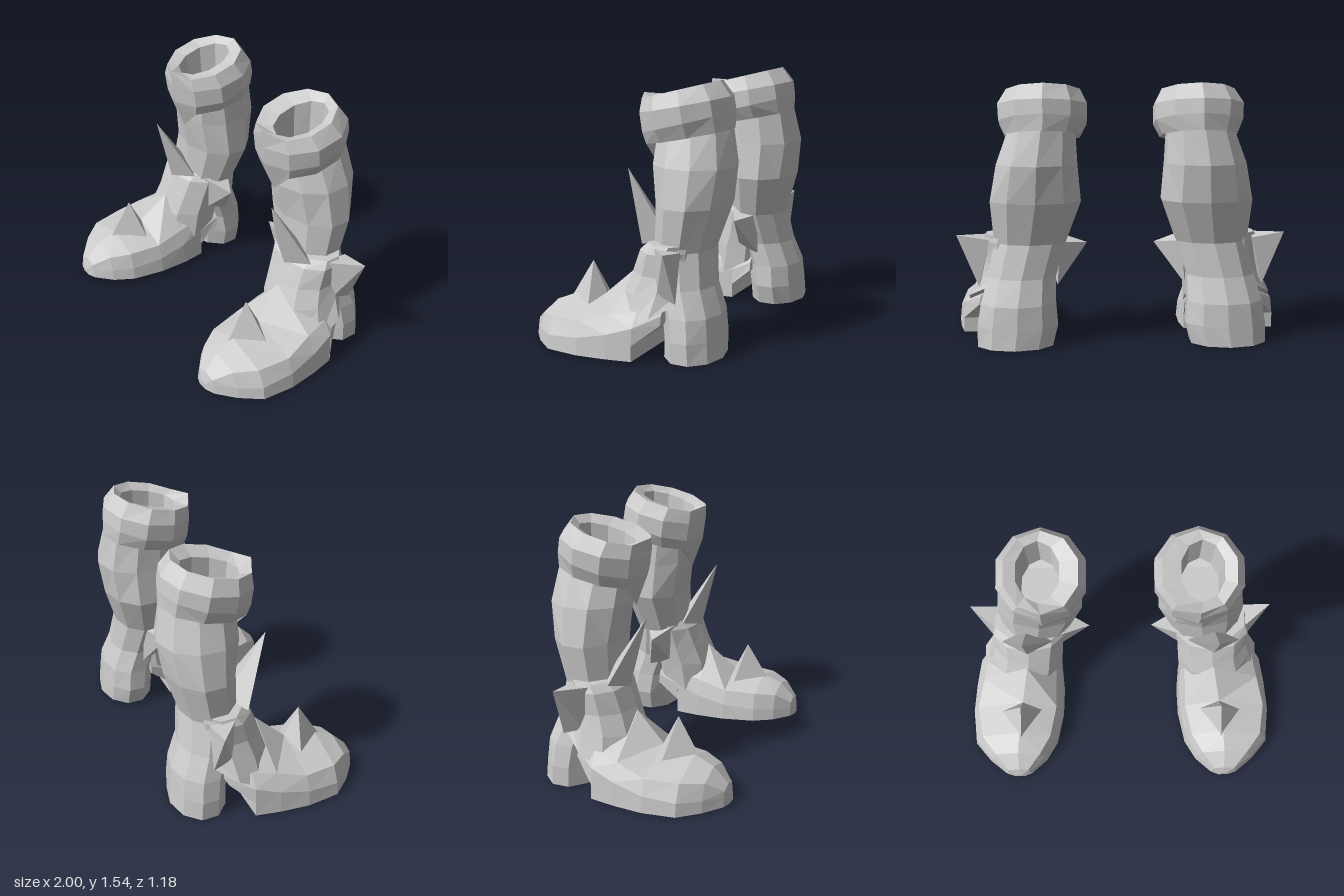
import * as THREE from 'three';
import { ConvexGeometry } from 'three/addons/geometries/ConvexGeometry.js';

const material = new THREE.MeshStandardMaterial({ color: 0xcccccc, flatShading: true });

// Skin through closed rings of points, capped at both ends
function loft(rings) {
  const pos = [];
  const tri = (a, b, c) => pos.push(...a, ...b, ...c);
  const n = rings[0].length;
  for (let i = 0; i < rings.length - 1; i++) {
    for (let j = 0; j < n; j++) {
      const k = (j + 1) % n, lo = rings[i], hi = rings[i + 1];
      tri(lo[j], lo[k], hi[k]);
      tri(lo[j], hi[k], hi[j]);
    }
  }
  const cap = (ring, flip) => {
    const mid = [0, 1, 2].map(d => ring.reduce((s, p) => s + p[d], 0) / n);
    ring.forEach((p, j) => {
      const q = ring[(j + 1) % n];
      flip ? tri(mid, q, p) : tri(mid, p, q);
    });
  };
  cap(rings[0], true);
  cap(rings[rings.length - 1], false);
  const geo = new THREE.BufferGeometry();
  geo.setAttribute('position', new THREE.Float32BufferAttribute(pos, 3));
  geo.computeVertexNormals();
  return geo;
}

// Ten-sided ring around the leg, raised at the back by tilt, pulled down at the front by tongue
function legRing([x0, x1, zBack, zFront, y, tilt = 0, tongue = 0]) {
  const ring = [];
  for (let j = 0; j < 10; j++) {
    const a = j * Math.PI / 5;
    const drop = j === 0 ? tongue : 0;
    ring.push([
      (x0 + x1) / 2 + (x1 - x0) / 1.9 * Math.sin(a),
      y - tilt * Math.cos(a) - drop,
      (zBack + zFront) / 2 + (zFront - zBack) / 2 * Math.cos(a) - drop * 0.45,
    ]);
  }
  return ring;
}

// Arched cross-section of the foot at one z
function footRing([z, xi, xo, yb, ys, xmi, xmo, ym, xt, yt]) {
  return [[xo, yb, z], [xo - 0.01, ys, z], [xmo, ym, z], [xt, yt, z], [xmi, ym, z], [xi + 0.01, ys, z], [xi, yb, z]];
}

function spike(points) {
  return new ConvexGeometry(points.map(p => new THREE.Vector3(...p)));
}

// Mirror across x and restore the facing
function mirrored(source) {
  const geo = source.clone().scale(-1, 1, 1);
  const p = geo.attributes.position;
  const a = new THREE.Vector3(), b = new THREE.Vector3();
  for (let i = 0; i < p.count; i += 3) {
    a.fromBufferAttribute(p, i + 1);
    b.fromBufferAttribute(p, i + 2);
    p.setXYZ(i + 1, b.x, b.y, b.z);
    p.setXYZ(i + 2, a.x, a.y, a.z);
  }
  geo.computeVertexNormals();
  return geo;
}

export function createModel() {
  const parts = {
    // Heel and leg, bottom to top: x range, z range, height
    heelAndShaft: loft([
      [0.41, 0.85, -0.585, -0.25, 0],
      [0.38, 0.85, -0.575, -0.25, 0.12],
      [0.39, 0.83, -0.565, -0.23, 0.25],
      [0.39, 0.79, -0.51, -0.18, 0.40],
      [0.33, 0.75, -0.48, -0.14, 0.60],
      [0.24, 0.77, -0.555, -0.14, 0.85],
      [0.26, 0.73, -0.59, -0.10, 1.07],
      [0.27, 0.66, -0.55, -0.10, 1.25, 0.05],
    ].map(legRing)),

    // Turned cuff: underside, outside, rim, then down into the opening
    cuff: loft([
      [0.27, 0.65, -0.53, -0.10, 1.24, 0.06],
      [0.24, 0.68, -0.56, -0.03, 1.22, 0.055, 0.125],
      [0.20, 0.715, -0.555, -0.015, 1.30, 0.07],
      [0.20, 0.72, -0.54, 0.0, 1.40, 0.055],
      [0.24, 0.67, -0.475, -0.005, 1.48, 0.06, -0.03],
      [0.35, 0.60, -0.43, -0.08, 1.455, 0.045],
      [0.36, 0.58, -0.42, -0.10, 1.26],
    ].map(legRing)),

    // Wrap around the ankle, its back sunk into the shaft
    ankleWrap: loft([
      [0.40, 0.91, -0.42, 0.05, 0.22, 0.13],
      [0.39, 0.85, -0.43, 0.02, 0.37, 0.03],
      [0.38, 0.82, -0.43, -0.03, 0.47],
      [0.36, 0.82, -0.43, -0.08, 0.60],
      [0.35, 0.80, -0.43, -0.13, 0.645],
    ].map(legRing)),

    // Foot, back to front, with the arch step behind the sole
    foot: loft([
      [-0.30, 0.39, 0.85, 0.21, 0.26, 0.44, 0.80, 0.32, 0.60, 0.40],
      [-0.17, 0.40, 0.95, 0.10, 0.20, 0.43, 0.88, 0.28, 0.60, 0.45],
      [-0.17, 0.40, 0.95, 0.01, 0.20, 0.43, 0.88, 0.28, 0.60, 0.45],
      [-0.02, 0.385, 0.98, 0.01, 0.15, 0.43, 0.91, 0.25, 0.61, 0.45],
      [0.16, 0.39, 1.00, 0.01, 0.11, 0.43, 0.95, 0.20, 0.65, 0.285],
      [0.36, 0.43, 0.98, 0.01, 0.09, 0.47, 0.92, 0.19, 0.67, 0.26],
      [0.48, 0.50, 0.88, 0.01, 0.08, 0.54, 0.83, 0.17, 0.68, 0.21],
      [0.57, 0.60, 0.77, 0.01, 0.06, 0.62, 0.75, 0.10, 0.68, 0.12],
      [0.59, 0.65, 0.71, 0.01, 0.03, 0.66, 0.70, 0.045, 0.68, 0.05],
    ].map(footRing)),

    // Pointed spikes, tip first
    frontSpike: spike([[0.595, 1.03, 0.04], [0.43, 0.64, -0.14], [0.76, 0.64, -0.14],
      [0.60, 0.59, -0.07], [0.60, 0.64, -0.22]]),
    outerSpike: spike([[0.97, 0.65, -0.38], [0.78, 0.63, -0.22], [0.78, 0.62, -0.39],
      [0.84, 0.34, -0.39], [0.83, 0.38, -0.27]]),
    innerSpike: spike([[0.20, 0.58, -0.27], [0.42, 0.64, -0.17], [0.36, 0.60, -0.36],
      [0.38, 0.34, -0.36], [0.40, 0.38, -0.22]]),
    toeSpike: spike([[0.645, 0.47, 0.25], [0.52, 0.22, 0.19], [0.80, 0.22, 0.20],
      [0.66, 0.24, 0.39], [0.65, 0.27, 0.15]]),
  };

  const model = new THREE.Group();
  model.name = 'boots';
  for (const side of ['left', 'right']) {
    const boot = new THREE.Group();
    boot.name = side + 'Boot';
    for (const [name, geo] of Object.entries(parts)) {
      const mesh = new THREE.Mesh(side === 'left' ? geo : mirrored(geo), material);
      mesh.name = name;
      boot.add(mesh);
    }
    model.add(boot);
  }
  return model;
}
